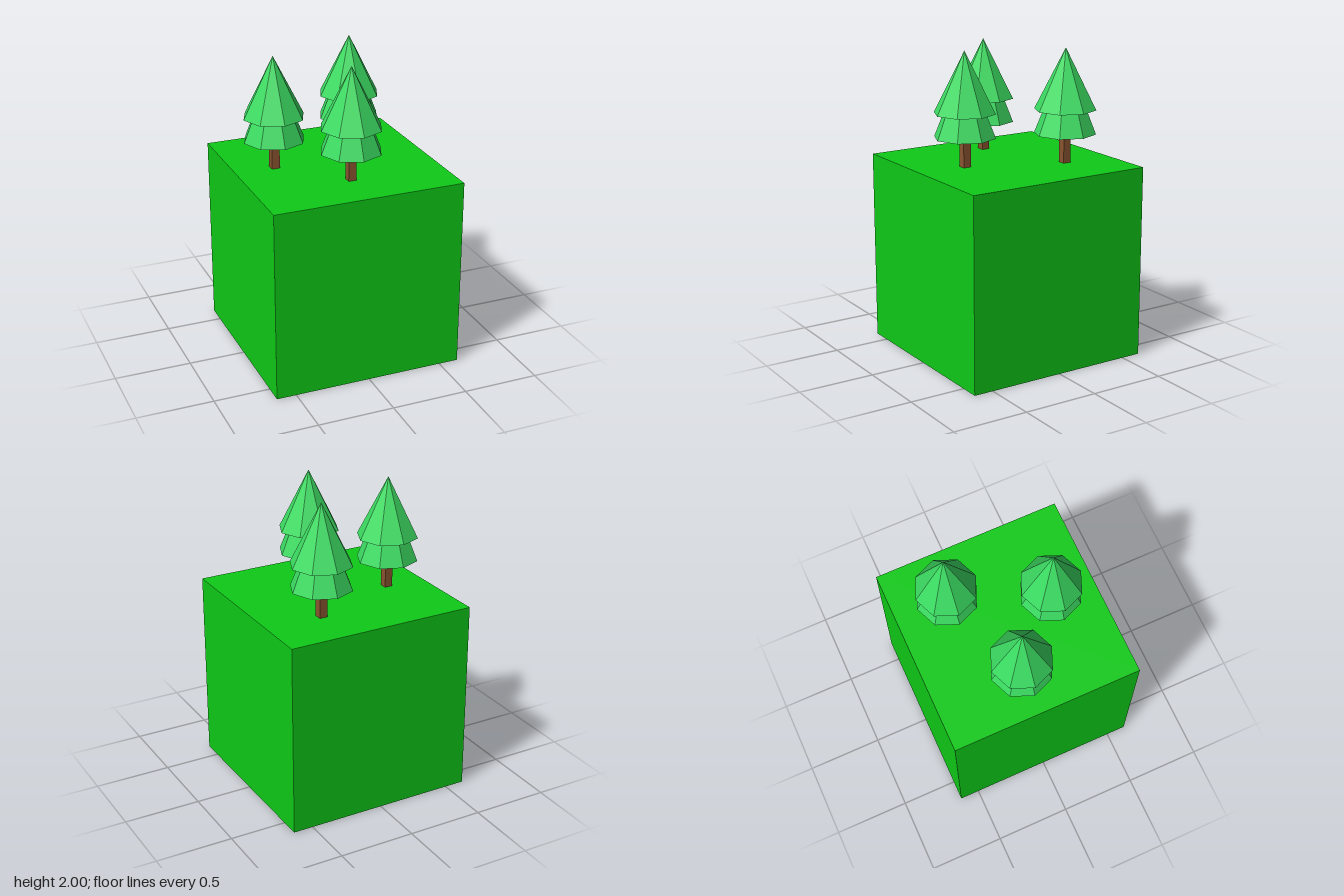
import * as THREE from 'three';

const BLOCK = 1.26; // side of the ground cube

const material = (color) => new THREE.MeshStandardMaterial({ color, flatShading: true });

function addPart(parent, name, geometry, mat, y) {
  const mesh = new THREE.Mesh(geometry, mat);
  mesh.name = name;
  mesh.position.y = y;
  parent.add(mesh);
}

export function createModel() {
  const model = new THREE.Group();
  model.name = 'treesOnBlock';
  const grass = material(0x0fcb18);
  const bark = material(0x8b5530);
  const leaves = material(0x3cdc62);

  // Ground cube
  addPart(model, 'groundBlock', new THREE.BoxGeometry(BLOCK, BLOCK, BLOCK), grass, BLOCK / 2);

  // Shared tree parts
  const trunk = new THREE.BoxGeometry(0.053, 0.22, 0.053);
  const lowerCone = new THREE.ConeGeometry(0.2, 0.5, 8);
  const upperCone = new THREE.ConeGeometry(0.2, 0.395, 8);

  // Three identical two-tier firs
  const spots = [[-0.365, -0.065], [0.005, 0.305], [0.245, -0.295]];
  spots.forEach(([x, z], i) => {
    const tree = new THREE.Group();
    tree.name = `tree${i + 1}`;
    tree.position.set(x, BLOCK, z);
    addPart(tree, 'trunk', trunk, bark, 0.11);
    addPart(tree, 'lowerFoliage', lowerCone, leaves, 0.19 + 0.25);
    addPart(tree, 'upperFoliage', upperCone, leaves, 0.345 + 0.1975);
    model.add(tree);
  });

  return model;
}
